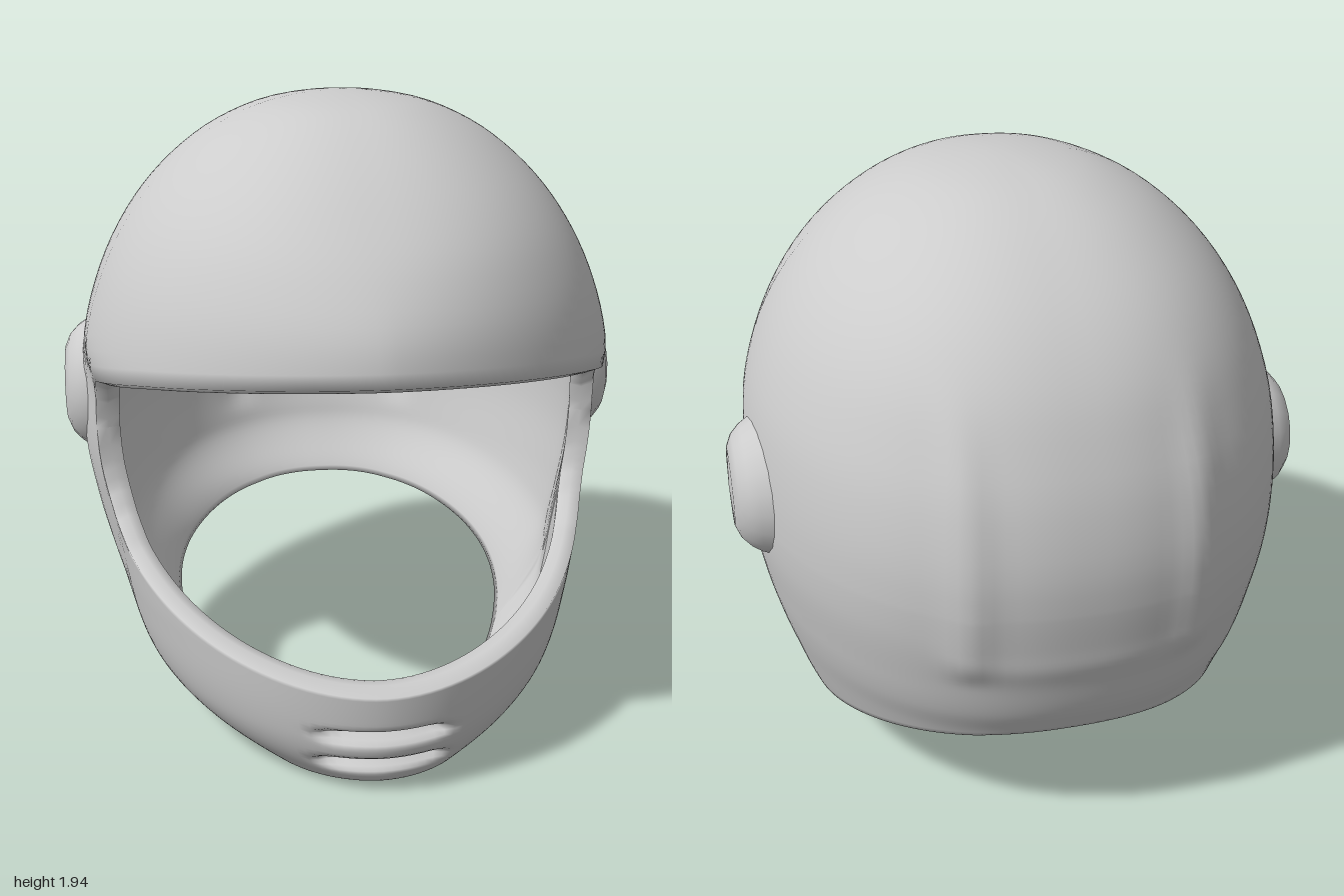
import * as THREE from 'three';
import { mergeVertices } from 'three/addons/utils/BufferGeometryUtils.js';

// Shell sections, top to bottom: height, half width, front depth, back depth
const SECTIONS = [
  [1.94, 0, 0, 0], [1.9, 0.28, 0.34, 0.32], [1.8, 0.475, 0.545, 0.545], [1.65, 0.635, 0.735, 0.735],
  [1.5, 0.735, 0.875, 0.85], [1.35, 0.8, 0.965, 0.92], [1.2, 0.84, 0.99, 0.97], [1, 0.86, 1, 1],
  [0.8, 0.855, 1, 0.985], [0.6, 0.82, 1, 0.94], [0.5, 0.795, 1, 0.91], [0.4, 0.765, 1, 0.86],
  [0.2, 0.69, 0.985, 0.78], [0.1, 0.61, 0.96, 0.75], [-0.02, 0.42, 0.89, 0.72],
];
// Edge heights as functions of z
const BROW = [[0.16, 0.9], [0.165, 0.99], [0.19, 1.045], [0.25, 1.08], [0.6, 1.16], [1, 1.24]];
const SILL = [[0.16, 0.9], [0.163, 0.79], [0.185, 0.7], [0.24, 0.625], [0.35, 0.55], [0.6, 0.465], [1, 0.335]];
const RIM = [[-0.9, 0.42], [-0.8, 0.385], [-0.4, 0.275], [0, 0.17], [0.3, 0.08], [0.55, 0.008], [0.75, 0.012], [0.95, 0.035]];
const SIDE = Math.acos(0.16); // angle where the face opening ends
const SEAM = 0.9;

const gauss = (v, c, w) => Math.exp(-(((v - c) / w) ** 2));
const smooth = THREE.MathUtils.smoothstep;

function linear(table, z) {
  if (z <= table[0][0]) return table[0][1];
  for (let i = 1; i < table.length; i++) {
    const [z0, y0] = table[i - 1], [z1, y1] = table[i];
    if (z <= z1) return y0 + ((y1 - y0) * (z - z0)) / (z1 - z0);
  }
  return table[table.length - 1][1];
}

// Smooth interpolation of squared radii, which keeps the crown round
function radius(y, k) {
  const S = SECTIONS, n = S.length - 1;
  const sq = (i) => S[i][k] ** 2;
  const slope = (i) => {
    const a = Math.max(i - 1, 0), b = Math.min(i + 1, n);
    return (sq(b) - sq(a)) / (S[b][0] - S[a][0]);
  };
  let i = 0;
  while (i < n - 1 && y < S[i + 1][0]) i++;
  const h = S[i + 1][0] - S[i][0], t = THREE.MathUtils.clamp((y - S[i][0]) / h, 0, 1);
  const t2 = t * t, t3 = t2 * t;
  const v = (2 * t3 - 3 * t2 + 1) * sq(i) + (t3 - 2 * t2 + t) * h * slope(i)
    + (3 * t2 - 2 * t3) * sq(i + 1) + (t3 - t2) * h * slope(i + 1);
  return Math.sqrt(Math.max(v, 0));
}

const depth = (a, y) => Math.cos(a) * radius(y, Math.cos(a) > 0 ? 2 : 3);

function outer(a, y) {
  const s = Math.sin(a), c = Math.cos(a);
  // Plan shape: egg-like at the brow, squarer at the back and towards the crown
  const high = smooth(y, 1.3, 1.7);
  const power = c > 0
    ? 1 + c * (0.06 + 0.08 * smooth(y, 0.3, 1.1) - 0.26 * high)
    : 1 + c * (0.12 + 0.06 * high);
  let x = Math.sign(s) * radius(y, 1) * Math.abs(s) ** power;
  let z = depth(a, y);
  // Cheeks draw in from the pivots forward, below the brow
  x *= 1 - 0.05 * smooth(z, -0.04, 0.2) * smooth(y, 0.15, 0.6) * (1 - smooth(y, 1, 1.18));
  if (c < 0) {
    // Two raised ridges and a lower ledge frame the rear panel
    const ax = Math.abs(x);
    z -= 0.022 * gauss(ax, 0.34, 0.06) * smooth(y, 0.62, 0.75) * (1 - smooth(y, 1.25, 1.6));
    z -= 0.006 * gauss(y, 0.7, 0.05) * (1 - smooth(ax, 0.3, 0.42));
  } else if (y < 0.34) {
    // Two vent grooves across the chin
    z -= 0.06 * (gauss(y, 0.2, 0.016) + gauss(y, 0.1, 0.018)) * (1 - smooth(Math.abs(x), 0.13, 0.22));
  }
  return new THREE.Vector3(x, y, z);
}

// Inner wall, turned in towards the neck rim, most of all at the cheeks
function inner(p, rim = 0) {
  const k = 0.91 - rim * (0.07 + 0.04 * smooth(p.z, -0.5, 0.1));
  const ky = p.y > SEAM ? 0.95 : 0.98 + 0.02 * rim;
  return new THREE.Vector3(p.x * k, SEAM + (p.y - SEAM) * ky, p.z * k);
}

function edgeHeight(a, table) {
  let y = table === RIM ? 0.2 : SEAM;
  for (let i = 0; i < 12; i++) y = linear(table, depth(a, y));
  return y;
}

// Rounded middle of an edge, pushed a little up or down
function lip(p, q, dy) {
  const m = p.clone().add(q).multiplyScalar(0.5);
  m.y += dy;
  return m;
}

function shellGeometry() {
  const half = [];
  for (let i = 0; i <= 48; i++) half.push(SIDE * (1 - (1 - i / 48) ** 1.7));
  for (let i = 1; i <= 44; i++) half.push(SIDE + ((Math.PI - SIDE) * i) / 44);
  const angles = [...half.slice(1).reverse().map((a) => -a), ...half];
  const N = 30;

  const columns = angles.map((a) => {
    const open = Math.abs(a) < SIDE - 1e-6;
    const brow = open ? edgeHeight(a, BROW) : SEAM;
    const sill = open ? edgeHeight(a, SILL) : SEAM;
    const rim = edgeHeight(a, RIM);
    const top = [], low = [];
    for (let j = 0; j <= N; j++) {
      const t = j / N;
      top.push(outer(a, 1.94 - (1.94 - brow) * t ** 1.8));
      low.push(outer(a, sill + (rim - sill) * t));
    }
    const topIn = top.map((p) => inner(p));
    const lowIn = low.map((p, j) => inner(p, smooth(j / N, 0.6, 1)));
    const upper = [...top, lip(top[N], topIn[N], -0.012), ...topIn.reverse()];
    const lower = [...low, lip(low[N], lowIn[N], -0.01), ...lowIn.reverse(),
      lip(low[0], lowIn[N], 0.012), low[0]];
    return { open, upper, lower };
  });

  const pos = [];
  const quad = (a, b, c, d) => {
    for (const p of [a, b, c, a, c, d]) pos.push(p.x, p.y, p.z);
  };
  for (let i = 0; i < columns.length - 1; i++) {
    const L = columns[i], R = columns[i + 1], open = L.open || R.open;
    for (const part of ['upper', 'lower']) {
      const p = L[part], q = R[part];
      for (let j = 0; j < p.length - 1; j++) {
        // Edge faces exist only around the face opening
        const edge = part === 'upper' ? j === N || j === N + 1 : j >= 2 * N + 2;
        if (edge && !open) continue;
        quad(p[j], p[j + 1], q[j + 1], q[j]);
      }
    }
  }
  let g = new THREE.BufferGeometry();
  g.setAttribute('position', new THREE.Float32BufferAttribute(pos, 3));
  g = mergeVertices(g, 1e-4);
  g.computeVertexNormals();
  return g;
}

export function createModel() {
  const group = new THREE.Group();
  const grey = new THREE.MeshStandardMaterial({ color: 0xcccccc });
  grey.name = 'shell grey';

  const shell = new THREE.Mesh(shellGeometry(), grey);
  shell.name = 'shell';
  group.add(shell);

  // Round visor pivots on both sides
  const profile = [[0.23, 0], [0.215, 0.04], [0.195, 0.07], [0.165, 0.098], [0.125, 0.115], [0, 0.12]]
    .map(([r, h]) => new THREE.Vector2(r, h));
  const podGeometry = new THREE.LatheGeometry(profile, 20);
  for (const side of [1, -1]) {
    const pod = new THREE.Mesh(podGeometry, grey);
    pod.name = side > 0 ? 'leftPivot' : 'rightPivot';
    pod.rotation.z = (-side * Math.PI) / 2;
    pod.position.set(side * 0.8, 0.97, -0.14);
    group.add(pod);
  }
  return group;
}
